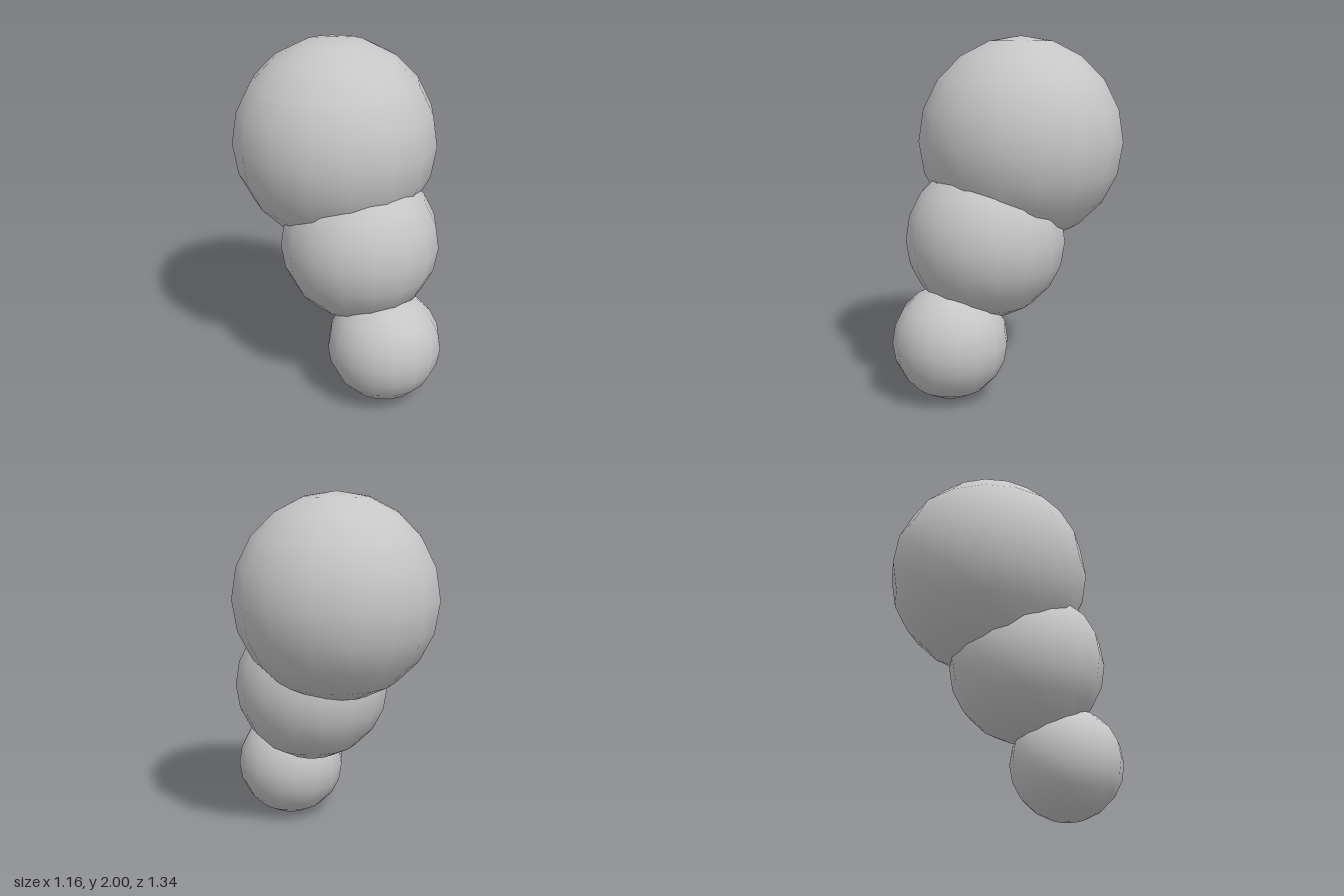
import * as THREE from 'three';

// Three overlapping balls, stacked on a slant from small to large
export function createModel() {
  const grey = new THREE.MeshStandardMaterial({ color: 0xc6c6c6 });
  grey.name = 'plain grey';

  const balls = [
    { name: 'bottomBall', radius: 0.323, position: [0.217, 0.327, 0.345] },
    { name: 'middleBall', radius: 0.45, position: [0.109, 0.882, 0.128] },
    { name: 'topBall', radius: 0.58, position: [0, 1.42, -0.09] },
  ];

  const model = new THREE.Group();
  model.name = 'stackedBalls';
  for (const { name, radius, position } of balls) {
    const ball = new THREE.Mesh(new THREE.SphereGeometry(radius, 16, 10), grey);
    ball.name = name;
    ball.position.set(...position);
    model.add(ball);
  }
  return model;
}
